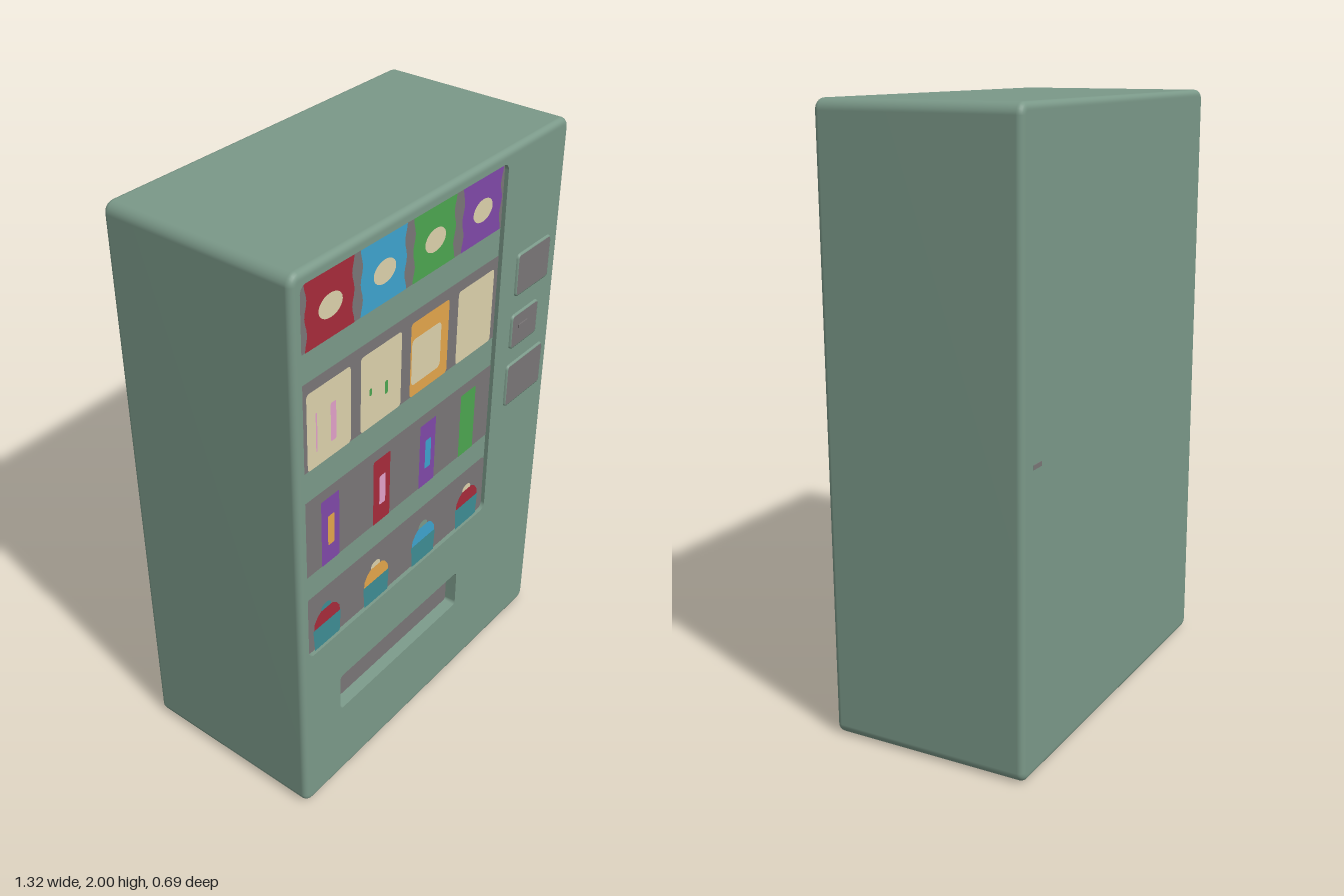
import * as THREE from 'three';

const COLORS = {
  bodyGreen: 0x7a9888, shelfGray: 0x797576, red: 0xa52a3a, blue: 0x3ea2cc, green: 0x4ca44f,
  purple: 0x7f48a7, cream: 0xdbd0aa, orange: 0xe2a44b, teal: 0x3d8b93, pink: 0xe0a0c8,
};

// Rounded rectangle outline, counter-clockwise; rect = [x0, y0, x1, y1]
function outline([x0, y0, x1, y1], r, inset = 0) {
  const pts = [], q = Math.max(r - inset, 0.002), seg = 6;
  const corners = [[x1, y1, -1, -1], [x0, y1, 1, -1], [x0, y0, 1, 1], [x1, y0, -1, 1]];
  corners.forEach(([x, y, sx, sy], c) => {
    for (let k = 0; k <= seg; k++) {
      const a = (c + k / seg) * Math.PI / 2;
      pts.push(new THREE.Vector2(x + sx * (inset + q) + q * Math.cos(a), y + sy * (inset + q) + q * Math.sin(a)));
    }
  });
  return pts;
}

// Wall through rounded-rectangle rings given as [inset, z]
function loft(rect, r, rings) {
  const pos = [], idx = [];
  let n = 0;
  rings.forEach(([inset, z]) => {
    const pts = outline(rect, r, inset);
    n = pts.length;
    pts.forEach(p => pos.push(p.x, p.y, z));
  });
  for (let i = 0; i < rings.length - 1; i++) {
    for (let j = 0; j < n; j++) {
      const a = i * n + j, b = i * n + (j + 1) % n;
      idx.push(a, b, b + n, a, b + n, a + n);
    }
  }
  const g = new THREE.BufferGeometry();
  g.setAttribute('position', new THREE.Float32BufferAttribute(pos, 3));
  g.setIndex(idx);
  g.computeVertexNormals();
  return g;
}

export function createModel() {
  const root = new THREE.Group();
  root.name = 'vendingMachine';
  const mats = {};
  for (const [name, color] of Object.entries(COLORS)) {
    mats[name] = new THREE.MeshStandardMaterial({ color });
    mats[name].name = name;
  }
  const add = (name, geo, color, parent = root) => {
    const m = new THREE.Mesh(geo, mats[color]);
    m.name = name;
    parent.add(m);
    return m;
  };
  const face = (name, pts, z, color, parent) =>
    add(name, new THREE.ShapeGeometry(new THREE.Shape(pts)).translate(0, 0, z), color, parent);
  const panel = (name, rect, r, z, color, parent) => face(name, outline(rect, r), z, color, parent);
  const oval = (name, x, y, rx, ry, z, color, parent) =>
    add(name, new THREE.CircleGeometry(1, 24).scale(rx, ry, 1).translate(x, y, z), color, parent);

  // Cabinet: rounded shell, closed back, front face with two openings
  const BODY = [-0.66, 0, 0.66, 2], R = 0.035, B = 0.02, BACK = -0.345, FRONT = 0.335, CAP = 0.025;
  const WINDOW = [-0.625, 0.655, 0.325, 1.96], SLOT = [-0.475, 0.305, 0.175, 0.455];
  const arc = [[CAP, 0]];
  for (let k = 0; k <= 6; k++) {
    const a = k / 6 * Math.PI / 2;
    arc.push([B * (1 - Math.sin(a)), B * (1 - Math.cos(a))]);
  }
  const rings = [...arc.map(([i, d]) => [i, BACK + d]), ...arc.slice().reverse().map(([i, d]) => [i, FRONT - d])];
  add('cabinetShell', loft(BODY, R, rings), 'bodyGreen');
  const back = new THREE.ShapeGeometry(new THREE.Shape(outline(BODY, R, CAP)));
  add('cabinetBack', back.rotateY(Math.PI).translate(0, 0, BACK), 'bodyGreen');
  const front = new THREE.Shape(outline(BODY, R, CAP));
  front.holes.push(new THREE.Path(outline(WINDOW, 0.025)), new THREE.Path(outline(SLOT, 0.015)));
  add('cabinetFront', new THREE.ShapeGeometry(front).translate(0, 0, FRONT), 'bodyGreen');

  // Recessed display and delivery slot
  const Z = 0.32, STEP = 0.003;
  add('displayRim', loft(WINDOW, 0.025, [[0, FRONT], [0, Z]]), 'bodyGreen');
  panel('displayBack', WINDOW, 0.025, Z, 'bodyGreen');
  add('slotRim', loft(SLOT, 0.015, [[0, FRONT], [0.004, 0.295]]), 'bodyGreen');
  panel('slotBack', SLOT, 0.015, 0.295, 'shelfGray');

  // Shelf bays
  [[1.745, 1.955], [1.355, 1.65], [0.97, 1.25], [0.658, 0.88]].forEach(([y0, y1], i) =>
    panel('shelfBay' + (i + 1), [-0.622, y0, 0.322, y1], i === 3 ? 0.02 : 0.003, Z + STEP, 'shelfGray'));
  const zP = Z + 2 * STEP, zD = Z + 3 * STEP;

  // Top row: snack bags with pinched sides and an oval label
  const bags = new THREE.Group();
  bags.name = 'snackBags';
  root.add(bags);
  ['red', 'blue', 'green', 'purple'].forEach((color, i) => {
    const x = [-0.497, -0.265, -0.03, 0.208][i], y0 = 1.747, y1 = 1.953, pts = [];
    const half = t => 0.098 + 0.005 * Math.cos(t * Math.PI * 4);
    for (let k = 0; k <= 12; k++) pts.push(new THREE.Vector2(x + half(k / 12), y0 + (y1 - y0) * k / 12));
    for (let k = 12; k >= 0; k--) pts.push(new THREE.Vector2(x - half(k / 12), y0 + (y1 - y0) * k / 12));
    face('snackBag', pts, zP, color, bags);
    oval('bagLabel', x, 1.848, 0.05, 0.037, zD, 'cream', bags);
  });

  // Second row: packets
  const packets = new THREE.Group();
  packets.name = 'packets';
  root.add(packets);
  [[-0.6, 'cream'], [-0.365, 'cream'], [-0.13, 'orange'], [0.108, 'cream']].forEach(([x, color]) =>
    panel('packet', [x, 1.357, x + 0.19, 1.615], 0.012, zP, color, packets));
  panel('packetStripe', [-0.502, 1.41, -0.478, 1.54], 0.006, zD, 'pink', packets);
  panel('packetStripe', [-0.566, 1.41, -0.56, 1.54], 0.002, zD, 'pink', packets);
  panel('packetMark', [-0.328, 1.47, -0.318, 1.495], 0.003, zD, 'green', packets);
  panel('packetMark', [-0.256, 1.44, -0.242, 1.485], 0.004, zD, 'green', packets);
  panel('packetLabel', [-0.128, 1.4, 0.018, 1.56], 0.016, zD, 'cream', packets);

  // Third row: bars
  const bars = new THREE.Group();
  bars.name = 'bars';
  root.add(bars);
  [[-0.505, 'purple', 'orange'], [-0.26, 'red', 'pink'], [-0.025, 'purple', 'blue'], [0.194, 'green', null]]
    .forEach(([x, color, label]) => {
      panel('bar', [x - 0.041, 0.972, x + 0.041, 1.215], 0.004, zP, color, bars);
      if (label) panel('barLabel', [x - 0.015, 1.04, x + 0.015, 1.15], 0.005, zD, label, bars);
    });

  // Bottom row: cups with a domed top and a small tip
  const cups = new THREE.Group();
  cups.name = 'cups';
  root.add(cups);
  [[-0.53, 'red', 'teal'], [-0.285, 'orange', 'cream'], [-0.032, 'blue', 'bodyGreen'], [0.218, 'red', 'cream']]
    .forEach(([x, color, tip]) => {
      const poly = pairs => pairs.map(([dx, y]) => new THREE.Vector2(x + dx, y));
      face('cup', poly([[-0.06, 0.66], [0.06, 0.66], [0.066, 0.745], [-0.066, 0.745]]), zD, 'teal', cups);
      face('cupTop', poly([[-0.062, 0.745], [0.062, 0.745], [0.06, 0.768], [0.045, 0.79], [0.028, 0.802],
        [-0.028, 0.802], [-0.045, 0.79], [-0.06, 0.768]]), zD, color, cups);
      oval('cupTip', x, 0.802, 0.024, 0.018, zP, tip, cups);
    });

  // Control panels on the right of the front, slightly proud, each with a thin rim
  [[0.415, 1.47, 0.6, 1.615], [0.408, 1.275, 0.557, 1.395], [0.402, 1.05, 0.61, 1.205]].forEach((rect, i) => {
    const g = new THREE.Group();
    g.name = ['displayPanel', 'coinPanel', 'keypadPanel'][i];
    root.add(g);
    add('panelRim', loft(rect, 0.012, [[-0.004, FRONT], [-0.002, FRONT + 0.006], [0.002, FRONT + 0.007]]), 'bodyGreen', g);
    panel('panelFace', rect, 0.012, FRONT + 0.006, 'shelfGray', g);
  });
  // Coin slit
  add('coinSlit', new THREE.BoxGeometry(0.05, 0.012, 0.004).translate(0.47, 1.345, FRONT + 0.008), 'shelfGray');

  // Small vent mark on the back
  add('backVent', new THREE.BoxGeometry(0.05, 0.014, 0.004).translate(0.57, 0.98, BACK), 'shelfGray');

  return root;
}
